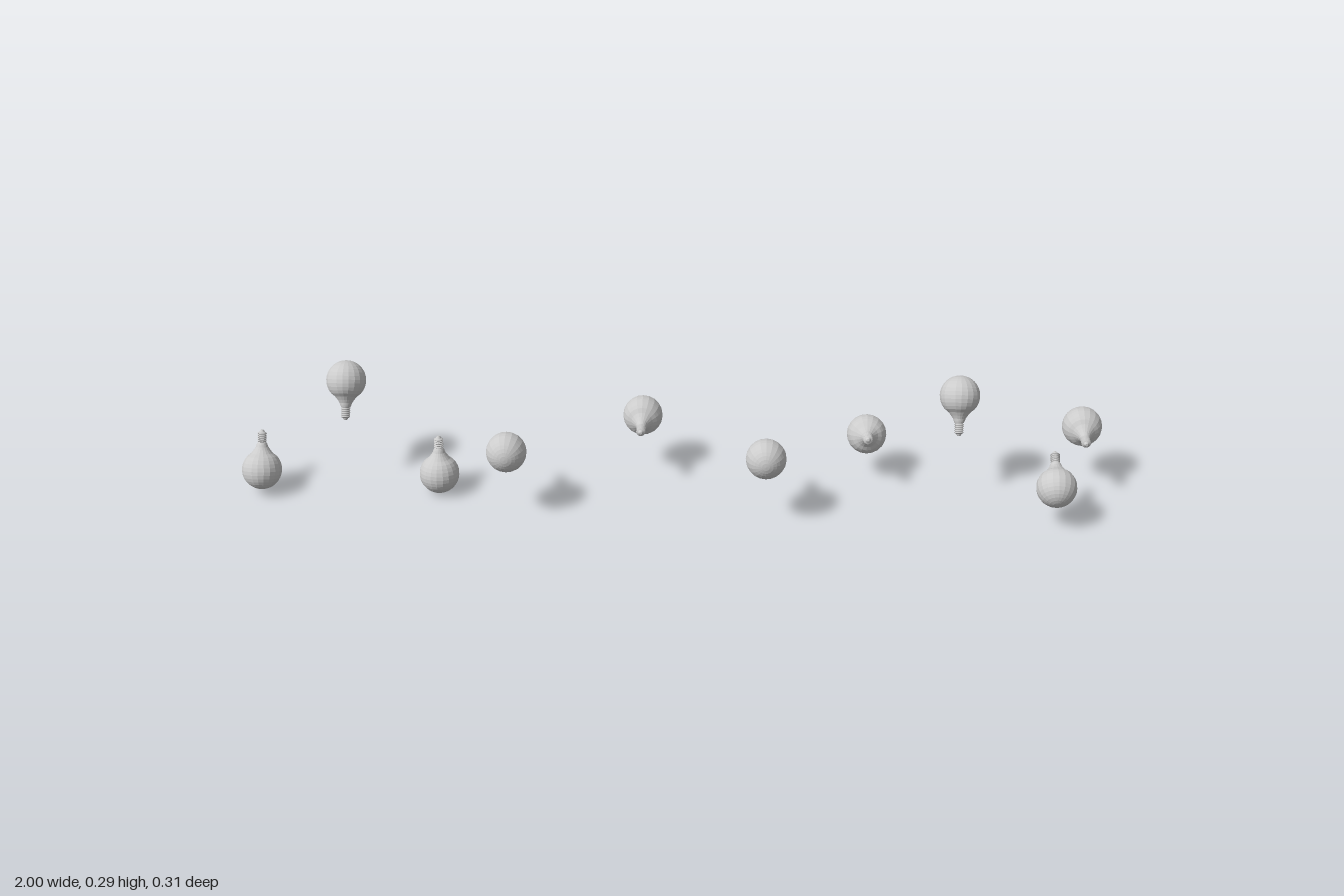
import * as THREE from 'three';

const SIDES = 20;
const R = 0.0463;      // globe radius
const TIP = 0.093;     // globe centre to contact tip

const lathe = (points, material, name) => {
  const profile = points.map(([r, y]) => new THREE.Vector2(r, y));
  const mesh = new THREE.Mesh(new THREE.LatheGeometry(profile, SIDES), material);
  mesh.name = name;
  return mesh;
};

// Pear-shaped glass: narrow neck flaring into a round globe
function glassProfile() {
  const points = [[0.0105, -0.063], [0.0125, -0.059], [0.0145, -0.053], [0.019, -0.046], [0.0255, -0.038]];
  for (let i = 0; i <= 12; i++) {
    const a = THREE.MathUtils.degToRad(-42 + i * 11);
    points.push([i === 12 ? 0 : R * Math.cos(a), R * Math.sin(a)]);
  }
  return points;
}

// Screw base: stacked thread ridges
function screwProfile() {
  const points = [[0, -0.088], [0.0065, -0.088]];
  const turns = 5, pitch = 0.0046;
  for (let i = 0; i < turns; i++) {
    const y = -0.087 + i * pitch;
    points.push([0.0085, y], [0.0108, y + pitch * 0.35], [0.0108, y + pitch * 0.6], [0.0085, y + pitch * 0.95]);
  }
  points.push([0.0105, -0.062], [0, -0.062]);
  return points;
}

// Contact button at the tip
const contactProfile = [[0, -TIP], [0.0032, -TIP], [0.005, -0.0905], [0.0068, -0.0875], [0, -0.0875]];

// Globe centre (x, y, z) and tilt about x in degrees, 0 = globe straight up
const bulbs = [
  [-0.954, 0.058, 0.042, 155],
  [-0.758, 0.249, -0.053, -29.5],
  [-0.541, 0.047, 0.021, 169],
  [-0.37, 0.164, 0.107, 83],
  [-0.072, 0.144, -0.106, -93],
  [0.22, 0.164, 0.107, 83],
  [0.454, 0.112, -0.099, -112],
  [0.66, 0.249, -0.053, -29.5],
  [0.88, 0.098, 0.091, 119],
  [0.954, 0.144, -0.106, -93],
];

export function createModel() {
  const model = new THREE.Group();
  model.name = 'stringLightBulbs';
  const material = new THREE.MeshStandardMaterial({ color: 0xcccccc, flatShading: true });

  const bulb = new THREE.Group();
  bulb.add(
    lathe(glassProfile(), material, 'glassGlobe'),
    lathe(screwProfile(), material, 'screwBase'),
    lathe(contactProfile, material, 'contactTip'),
  );

  bulbs.forEach(([x, y, z, tilt], i) => {
    const copy = bulb.clone();
    copy.name = `bulb${i + 1}`;
    copy.position.set(x, y, z);
    copy.rotation.x = THREE.MathUtils.degToRad(tilt);
    model.add(copy);
  });
  return model;
}
